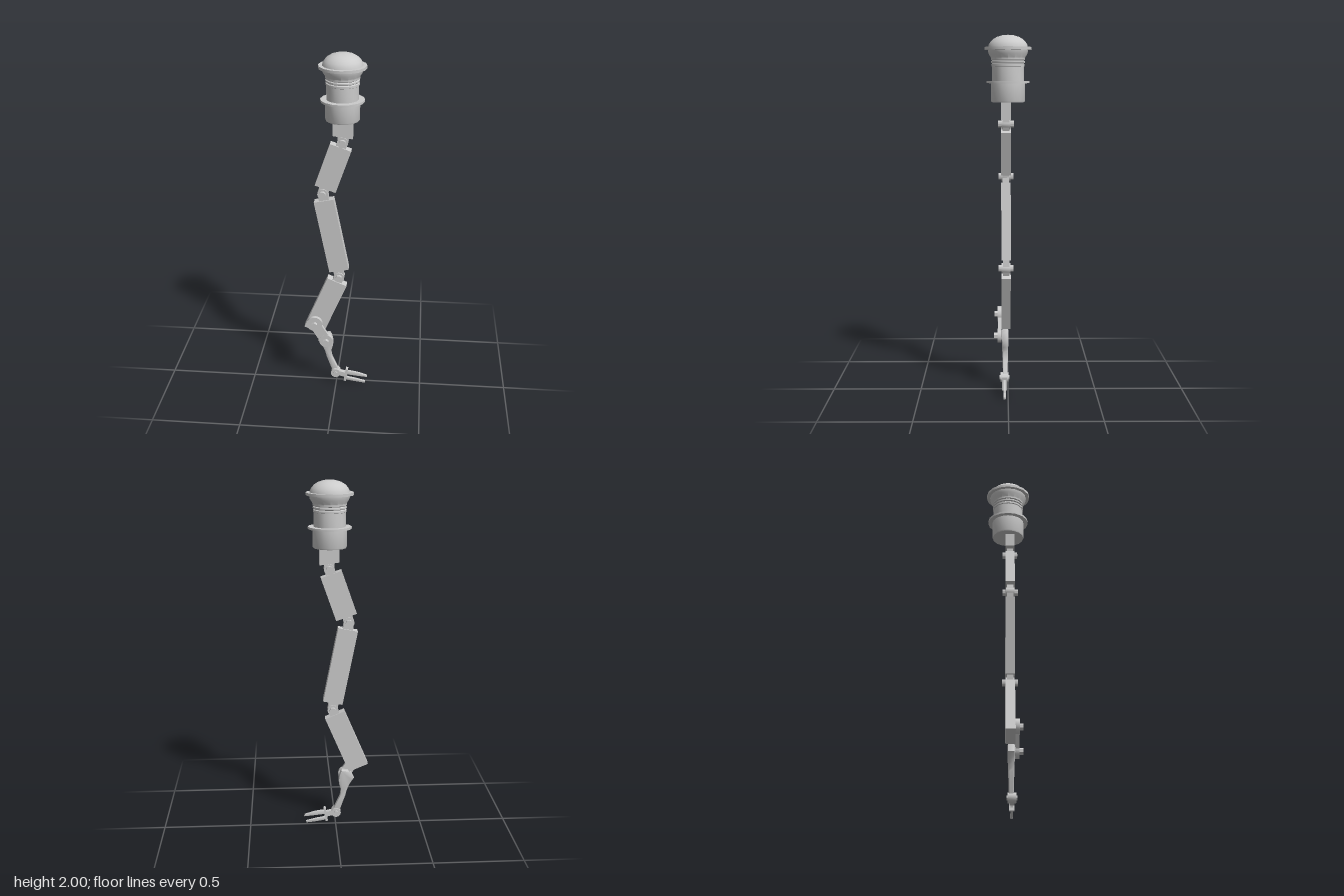
import * as THREE from 'three';
import { toCreasedNormals } from 'three/addons/utils/BufferGeometryUtils.js';

const DEPTH = 0.053, MID_Z = 0.011;
const material = new THREE.MeshStandardMaterial({ color: 0xcccccc });

function add(parent, name, geometry, x = 0, y = 0, z = 0) {
  const mesh = new THREE.Mesh(toCreasedNormals(geometry, 0.6), material);
  mesh.name = name;
  mesh.position.set(x, y, z);
  parent.add(mesh);
  return mesh;
}

const vectors = (points) => points.map(([x, y]) => new THREE.Vector2(x, y));

// Outline in the x-y plane, given thickness centred on z
function plate(shape, depth, bevel = 0) {
  const geometry = new THREE.ExtrudeGeometry(shape, {
    depth: depth - 2 * bevel, bevelEnabled: bevel > 0, bevelSize: bevel,
    bevelThickness: bevel, bevelOffset: -bevel, bevelSegments: 2, curveSegments: 8,
  });
  return geometry.translate(0, 0, -depth / 2 + bevel);
}

// Cylinder lying along z
function disc(radius, depth, sides = 16) {
  return new THREE.CylinderGeometry(radius, radius, depth, sides).rotateX(Math.PI / 2);
}

// Box running between two points
function bar(parent, name, [ax, ay], [bx, by], width, depth, z) {
  const length = Math.hypot(bx - ax, by - ay);
  const mesh = add(parent, name, new THREE.BoxGeometry(width, length, depth), (ax + bx) / 2, (ay + by) / 2, z);
  mesh.rotation.z = Math.atan2(ax - bx, by - ay);
  return mesh;
}

function createHead() {
  const head = new THREE.Group();
  head.name = 'head';
  head.position.x = 0.031;
  // Profiles run from the bottom up
  const body = [
    [0, 1.64], [0.09, 1.64], [0.093, 1.647], [0.093, 1.742],
    [0.118, 1.742], [0.118, 1.754], [0.086, 1.754], [0.086, 1.83],
    [0.09, 1.832], [0.09, 1.843], [0.085, 1.847], [0.091, 1.851], [0.091, 1.859],
    [0.086, 1.863], [0.092, 1.867], [0.092, 1.878], [0.106, 1.9], [0.108, 1.92],
    [0.128, 1.92], [0.128, 1.935], [0, 1.935],
  ];
  add(head, 'headBody', new THREE.LatheGeometry(vectors(body), 16));
  const dome = [[0.108, 1.93], [0.105, 1.945], [0.097, 1.96], [0.083, 1.975], [0.062, 1.988], [0.033, 1.997], [0, 2]];
  add(head, 'dome', new THREE.LatheGeometry(vectors(dome), 24));
  return head;
}

// Hinge with a tongue bridging two segments and a protruding pin
function createJoint(name, from, pivot, to) {
  const joint = new THREE.Group();
  joint.name = name;
  bar(joint, 'upperTongue', from, pivot, 0.056, 0.036, MID_Z);
  bar(joint, 'lowerTongue', pivot, to, 0.056, 0.036, MID_Z);
  add(joint, 'knuckle', disc(0.03, 0.05), ...pivot, MID_Z);
  add(joint, 'pin', disc(0.019, 0.086, 12), ...pivot, MID_Z);
  return joint;
}

// Flat link with two rounded ends and a bolt on each
function createLink() {
  const link = new THREE.Group();
  link.name = 'elbowLink';
  const a = [-0.124, 0.41], b = [-0.058, 0.299];
  bar(link, 'linkBar', a, b, 0.064, 0.02, 0.047);
  [[a, 0.045], [b, 0.04]].forEach(([p, radius]) => {
    add(link, 'linkEnd', disc(radius, 0.022, 20), ...p, 0.048);
    add(link, 'bolt', disc(0.018, 0.022, 6), ...p, 0.068);
  });
  add(link, 'forearmPivot', disc(0.024, 0.045), ...b, 0.026);
  return link;
}

function createForearm() {
  const outline = new THREE.Shape();
  outline.moveTo(-0.108, 0.285);
  outline.lineTo(-0.086, 0.331);
  outline.lineTo(-0.035, 0.335);
  outline.quadraticCurveTo(-0.006, 0.28, -0.028, 0.225);
  outline.quadraticCurveTo(-0.034, 0.185, -0.015, 0.15);
  outline.lineTo(0.022, 0.07);
  outline.lineTo(-0.016, 0.058);
  outline.lineTo(-0.058, 0.175);
  outline.quadraticCurveTo(-0.07, 0.24, -0.108, 0.285);
  const forearm = new THREE.Group();
  forearm.name = 'forearm';
  const geometry = plate(outline, 0.04, 0.008);
  // Thin the bone towards the wrist
  const p = geometry.attributes.position;
  for (let i = 0; i < p.count; i++) {
    const t = THREE.MathUtils.clamp((p.getY(i) - 0.06) / 0.25, 0, 1);
    p.setZ(i, p.getZ(i) * (0.6 + 0.4 * t));
  }
  geometry.computeVertexNormals();
  add(forearm, 'forearmBone', geometry, 0, 0, 0.016);
  return forearm;
}

function createGripper() {
  const gripper = new THREE.Group();
  gripper.name = 'gripper';
  gripper.position.z = 0.02;
  // Wrist
  add(gripper, 'wrist', disc(0.028, 0.044), -0.003, 0.068);
  add(gripper, 'wristPin', disc(0.013, 0.058, 10), -0.003, 0.068);
  bar(gripper, 'palm', [0.0, 0.066], [0.06, 0.053], 0.03, 0.026, 0);
  bar(gripper, 'crossPlate', [0.064, 0.093], [0.052, 0.012], 0.014, 0.03, 0);
  // Pointed fingers
  const fingers = [
    [[0.045, 0.055], [0.185, 0.041], [0.181, 0.053], [0.125, 0.07], [0.075, 0.078], [0.05, 0.073]],
    [[0.045, 0.041], [0.05, 0.022], [0.07, 0.014], [0.115, 0.007], [0.172, 0], [0.174, 0.011], [0.11, 0.027], [0.08, 0.032]],
  ];
  fingers[0].splice(1, 0, [0.08, 0.051], [0.125, 0.046]);
  fingers.forEach((points, i) => {
    add(gripper, i ? 'lowerFinger' : 'upperFinger', plate(new THREE.Shape(vectors(points)), 0.014, 0.002));
  });
  return gripper;
}

export function createModel() {
  const model = new THREE.Group();
  model.name = 'jointedArm';
  model.add(createHead());

  // Neck with a slanted lower edge
  const neck = new THREE.Shape(vectors([[-0.02, 1.65], [-0.02, 1.56], [0.088, 1.545], [0.088, 1.65]]));
  add(model, 'neck', plate(neck, DEPTH), 0, 0, MID_Z);

  // Three box segments: top centre, bottom centre, width
  const segments = [
    ['upperSegment', [0.024, 1.495], [-0.06, 1.254], 0.121],
    ['middleSegment', [-0.069, 1.183], [0.016, 0.756], 0.111],
    ['lowerSegment', [0.005, 0.683], [-0.132, 0.357], 0.118],
  ];
  segments.forEach(([name, a, b, width]) => bar(model, name, a, b, width, DEPTH, MID_Z));

  // Hinges between them
  model.add(
    createJoint('upperJoint', [0.034, 1.57], [0.034, 1.522], [0.02, 1.48]),
    createJoint('middleJoint', [-0.064, 1.265], [-0.074, 1.222], [-0.066, 1.17]),
    createJoint('lowerJoint', [0.01, 0.775], [0.016, 0.712], [0, 0.67]),
  );

  model.add(createLink(), createForearm(), createGripper());
  return model;
}
